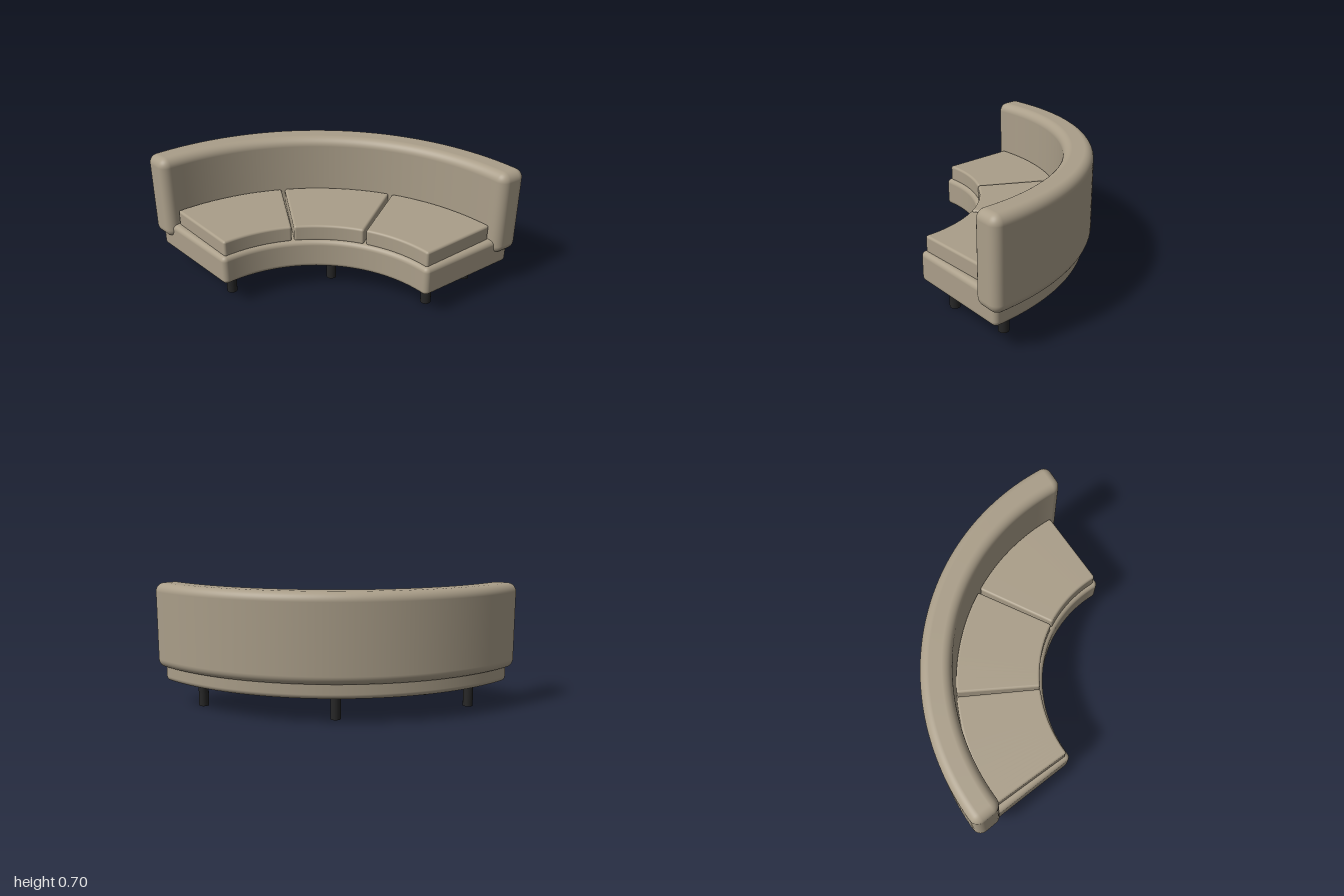
import * as THREE from 'three';

const CENTRE_Z = 0.91; // centre of the circle that every part follows
const K = 5;           // segments across each rounded edge

// Splits a grid position into a core position (-1..1) and a rounding offset (-1..1).
function split(u, n) {
  const i = Math.round(u * n);
  if (i <= K) return [-1, -Math.tan((1 - i / K) * Math.PI / 4)];
  if (i >= n - K) return [1, Math.tan((1 - (n - i) / K) * Math.PI / 4)];
  return [-1 + 2 * (i - K) / (n - 2 * K), 0];
}

// Rounded box bent along the circle, from angle a0 to a1 (degrees, 0 = straight back).
function roundedArc(rIn, rOut, y0, y1, a0, a1, r, steps) {
  const nx = steps + 2 * K, n = 2 * K + 1;
  const geo = new THREE.BoxGeometry(1, 1, 1, nx, n, n);
  const pos = geo.attributes.position, nor = geo.attributes.normal;
  const mid = THREE.MathUtils.degToRad((a0 + a1) / 2);
  const half = THREE.MathUtils.degToRad((a1 - a0) / 2);
  const off = new THREE.Vector3(), up = new THREE.Vector3(0, 1, 0);
  for (let i = 0; i < pos.count; i++) {
    const [cx, ox] = split(pos.getX(i) + 0.5, nx);
    const [cy, oy] = split(pos.getY(i) + 0.5, n);
    const [cz, oz] = split(pos.getZ(i) + 0.5, n);
    off.set(ox, oy, oz).normalize();
    const rad = (rIn + rOut) / 2 - cz * ((rOut - rIn) / 2 - r) - off.z * r;
    const y = (y0 + y1) / 2 + cy * ((y1 - y0) / 2 - r) + off.y * r;
    const a = mid + cx * (half - r / rad) + off.x * r / rad;
    pos.setXYZ(i, rad * Math.sin(a), y, CENTRE_Z - rad * Math.cos(a));
    off.applyAxisAngle(up, -a);
    nor.setXYZ(i, off.x, off.y, off.z);
  }
  return geo;
}

export function createModel() {
  const group = new THREE.Group();
  group.name = 'curvedSofa';
  const fabric = new THREE.MeshStandardMaterial({ color: 0xaa9e89 });
  fabric.name = 'taupe fabric';
  const black = new THREE.MeshStandardMaterial({ color: 0x262626 });
  black.name = 'black leg';

  const add = (name, geo, mat) => {
    const mesh = new THREE.Mesh(geo, mat);
    mesh.name = name;
    group.add(mesh);
    return mesh;
  };

  // Seat base and tall curved backrest
  add('seatBase', roundedArc(0.70, 1.305, 0.14, 0.305, -48.2, 48.2, 0.027, 64), fabric);
  add('backrest', roundedArc(1.18, 1.345, 0.22, 0.70, -49.4, 49.4, 0.05, 64), fabric);

  // Three seat cushions with narrow gaps
  [['rightCushion', -46.4, -16.0], ['middleCushion', -15.0, 15.0], ['leftCushion', 16.0, 46.4]]
    .forEach(([name, a0, a1]) =>
      add(name, roundedArc(0.72, 1.178, 0.298, 0.39, a0, a1, 0.013, 24), fabric));

  // Inner and outer rows of round legs
  const legGeo = new THREE.CylinderGeometry(0.028, 0.028, 0.15, 32);
  for (const [row, rad] of [['frontLeg', 0.83], ['backLeg', 1.17]]) {
    for (const deg of [-40, 0, 40]) {
      const a = THREE.MathUtils.degToRad(deg);
      add(row, legGeo, black).position.set(rad * Math.sin(a), 0.075, CENTRE_Z - rad * Math.cos(a));
    }
  }
  return group;
}
